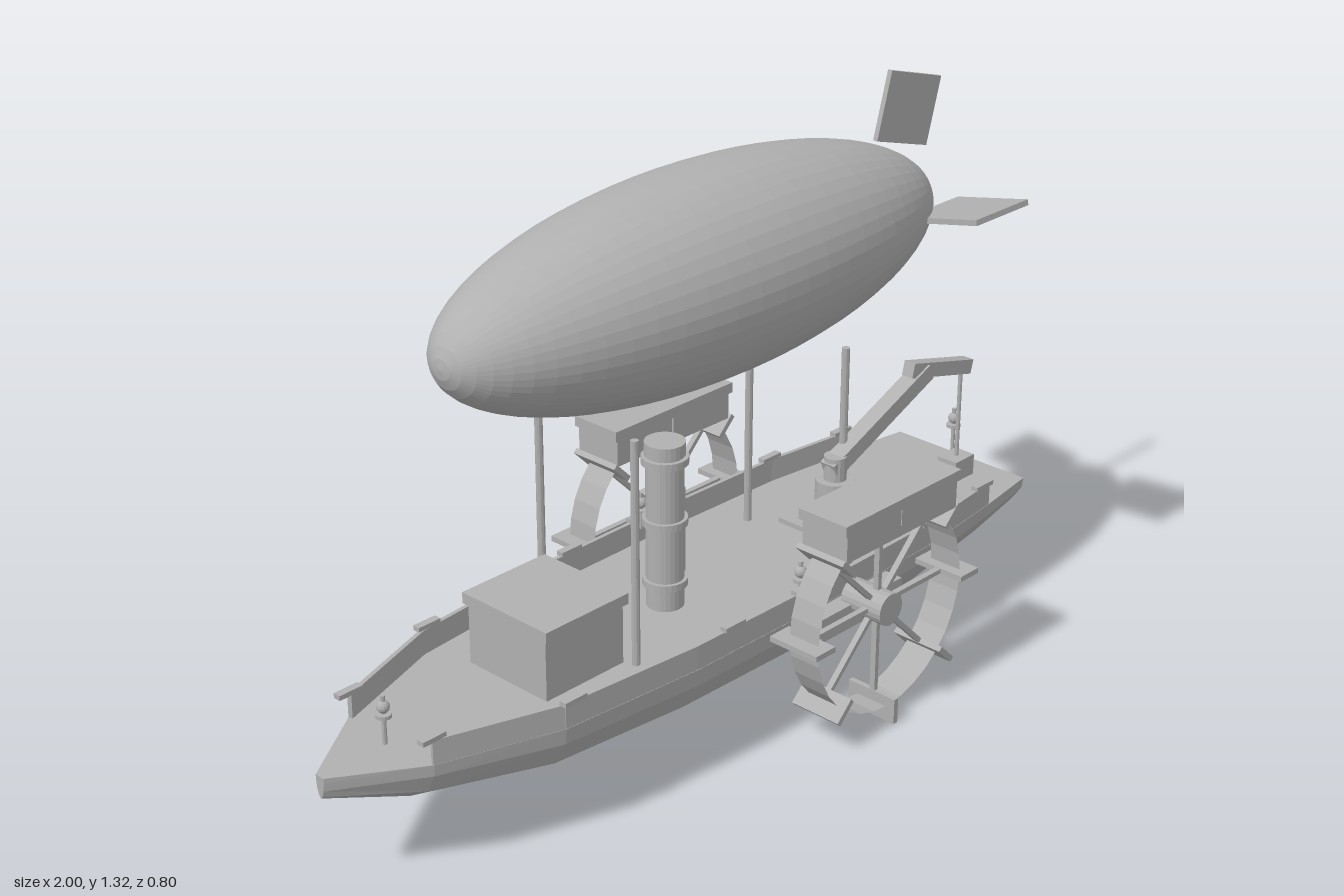
import * as THREE from 'three';

export function createModel() {
  const root = new THREE.Group();
  root.name = 'paddleAirship';
  const grey = new THREE.MeshStandardMaterial({ color: 0xb0b0b0, flatShading: true, side: THREE.DoubleSide });
  grey.name = 'plain grey';

  const V = (x, y, z) => new THREE.Vector3(x, y, z);
  const add = (name, geo, x = 0, y = 0, z = 0, parent = root) => {
    const m = new THREE.Mesh(geo, grey);
    m.name = name;
    m.position.set(x, y, z);
    parent.add(m);
    return m;
  };
  // box given by its min and max limits
  const box = (name, x0, x1, y0, y1, z0, z1, parent) =>
    add(name, new THREE.BoxGeometry(x1 - x0, y1 - y0, z1 - z0), (x0 + x1) / 2, (y0 + y1) / 2, (z0 + z1) / 2, parent);
  // upright cylinder from y0 to y1
  const post = (name, r, x, z, y0, y1, sides = 20, parent = root) =>
    add(name, new THREE.CylinderGeometry(r, r, y1 - y0, sides), x, (y0 + y1) / 2, z, parent);
  // rectangular bar between two points
  const beam = (name, a, b, h, d, parent) => {
    const dir = b.clone().sub(a);
    const c = a.clone().add(b).multiplyScalar(0.5);
    const m = add(name, new THREE.BoxGeometry(dir.length(), h, d), c.x, c.y, c.z, parent);
    m.quaternion.setFromUnitVectors(V(1, 0, 0), dir.normalize());
    return m;
  };

  // Hull: stations of x, half width, keel height
  const DECK = 0.275;
  const stations = [
    [-1, 0.012, 0.225], [-0.82, 0.13, 0.158], [-0.55, 0.22, 0.112], [-0.2, 0.25, 0.095], [0.2, 0.254, 0.09],
    [0.57, 0.246, 0.103], [0.83, 0.216, 0.133], [1, 0.19, 0.16]];
  const half = [[1, 1], [0.98, 0.77], [0.82, 0.4], [0.4, 0.1]];
  const section = [...half, [0, 0], ...half.slice().reverse().map(([w, h]) => [-w, h])];
  const n = section.length, pos = [], idx = [];
  for (const [x, w, b] of stations)
    for (const [u, v] of section) pos.push(x, b + (DECK - b) * v, w * u);
  for (let i = 0; i < stations.length - 1; i++)
    for (let j = 0; j < n; j++) {
      const a = i * n + j, c = i * n + (j + 1) % n;
      idx.push(a, c, a + n, a + n, c, c + n);
    }
  const last = (stations.length - 1) * n;
  for (let j = 1; j < n - 1; j++) idx.push(last, last + j, last + j + 1, 0, j + 1, j);
  const hull = new THREE.BufferGeometry();
  hull.setAttribute('position', new THREE.Float32BufferAttribute(pos, 3));
  hull.setIndex(idx);
  const hullFlat = hull.toNonIndexed();
  hullFlat.computeVertexNormals();
  add('hull', hullFlat);

  const lamp = (x, z, y) => {
    const g = new THREE.Group();
    g.name = 'lamp';
    g.position.set(x, y, z);
    root.add(g);
    post('lampPost', 0.005, 0, 0, 0, 0.06, 8, g);
    post('lampCollar', 0.017, 0, 0, 0.042, 0.05, 12, g);
    add('lampGlobe', new THREE.SphereGeometry(0.014, 12, 8), 0, 0.065, 0, g);
    post('lampFinial', 0.005, 0, 0, 0.07, 0.09, 8, g);
  };

  for (const s of [1, -1]) {
    // Bulwark along the deck edge, with cleats on top
    for (let i = 1; i < stations.length - 2; i++) {
      const [xa, wa] = stations[i], [xb, wb] = stations[i + 1];
      beam('bulwark', V(xa, 0.303, s * (wa - 0.006)), V(xb, 0.303, s * (wb - 0.006)), 0.056, 0.01);
    }
    for (const [x, z] of [[-0.82, 0.126], [-0.53, 0.22], [-0.09, 0.246], [0.13, 0.249], [0.57, 0.242], [0.8, 0.216]])
      box('cleat', x - 0.03, x + 0.03, 0.33, 0.341, s * z - 0.009, s * z + 0.009);
    lamp(0.13, s * 0.24, 0.31);

    // Masts below the balloon
    for (const x of [-0.272, 0.38]) post('mast', 0.009, x, s * 0.14, DECK, 0.79, 10);

    // Paddle wheel
    const wheel = new THREE.Group();
    wheel.name = 'paddleWheel';
    wheel.position.set(0.275, 0.275, s * 0.335);
    root.add(wheel);
    const rim = add('wheelRim', new THREE.CylinderGeometry(0.24, 0.24, 0.08, 32, 1, true), 0, 0, 0, wheel);
    rim.rotation.x = Math.PI / 2;
    const hub = add('hub', new THREE.CylinderGeometry(0.038, 0.038, 0.11, 20), 0, 0, -s * 0.015, wheel);
    hub.rotation.x = Math.PI / 2;
    for (let k = 0; k < 8; k++) {
      const a = k * Math.PI / 4, c = Math.cos(a), d = Math.sin(a);
      beam('spoke', V(0, 0, 0), V(c * 0.25, d * 0.25, 0), 0.011, 0.014, wheel);
      beam('paddle', V(c * 0.214, d * 0.214, 0), V(c * 0.275, d * 0.275, 0), 0.013, 0.13, wheel);
    }
    const zr = (a, b) => s > 0 ? [a, b] : [-b, -a];
    box('wheelBracket', 0.14, 0.41, 0.215, 0.272, ...zr(0.235, 0.295));
    box('wheelBox', 0.092, 0.458, 0.465, 0.53, ...zr(0.275, 0.398));
    box('wheelBoxLid', 0.083, 0.466, 0.53, 0.555, ...zr(0.27, 0.402));
  }
  lamp(-0.835, 0, 0.295);
  lamp(0.965, 0, 0.32);
  post('bowLampStem', 0.005, -0.835, 0, DECK, 0.3, 8);
  post('sternLampStem', 0.005, 0.965, 0, DECK, 0.33, 8);

  // Cabin and hatch
  box('cabin', -0.505, -0.285, DECK, 0.415, -0.115, 0.115);
  box('cabinRoof', -0.512, -0.278, 0.415, 0.44, -0.125, 0.125);
  box('hatch', 0.42, 0.6, DECK, 0.287, -0.08, 0.08);

  // Funnel with rings and steam pipe
  post('funnel', 0.042, -0.04, 0, DECK, 0.655, 24);
  for (const [r, y0, y1] of [[0.05, 0.325, 0.342], [0.05, 0.47, 0.487], [0.052, 0.615, 0.632], [0.045, 0.635, 0.665]])
    post('funnelRing', r, -0.04, 0, y0, y1, 24);
  post('steamPipe', 0.011, 0.008, 0, 0.305, 0.54, 10);

  // Crane
  const cz = 0.153;
  post('craneBase', 0.044, 0.34, cz, DECK, 0.495, 20);
  post('craneColumn', 0.026, 0.34, cz, 0.495, 0.55, 14);
  beam('lowerArm', V(0.32, 0.52, cz), V(0.645, 0.66, cz), 0.038, 0.04);
  beam('upperArm', V(0.585, 0.678, cz), V(0.8, 0.622, cz), 0.034, 0.03);
  post('craneCable', 0.005, 0.778, cz, 0.39, 0.62, 8);
  box('craneWeight', 0.743, 0.81, 0.35, 0.4, cz - 0.027, cz + 0.027);

  // Balloon and tail fins
  const balloon = new THREE.SphereGeometry(1, 48, 32);
  balloon.rotateZ(Math.PI / 2);
  balloon.scale(0.717, 0.225, 0.245);
  add('balloon', balloon, 0.063, 1.02, 0);
  const topFin = add('topFin', new THREE.BoxGeometry(0.182, 0.158, 0.012), 0.737, 1.217, 0);
  topFin.rotation.z = -0.28;
  for (const s of [1, -1]) {
    const fin = add('sideFin', new THREE.BoxGeometry(0.185, 0.013, 0.196), 0.733, 1.021, s * 0.182);
    fin.rotation.x = -s * 0.21;
  }
  return root;
}
